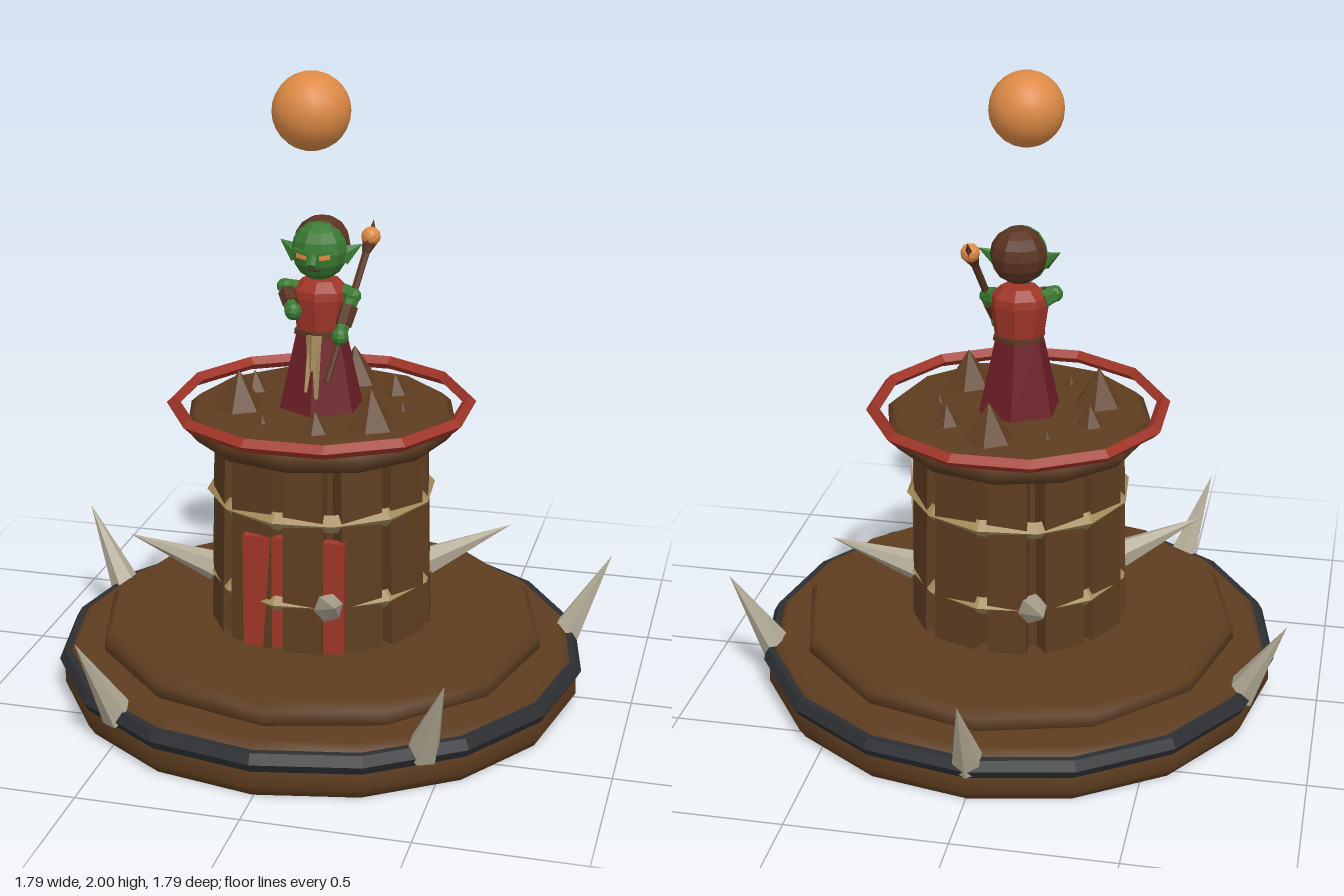
import * as THREE from 'three';

const mat = (name, color) => Object.assign(new THREE.MeshStandardMaterial({ color }), { name });
const flat = (g) => {
  const f = g.index ? g.toNonIndexed() : g;
  f.computeVertexNormals();
  return f;
};
const rad = THREE.MathUtils.degToRad;
const V = (x, y, z) => new THREE.Vector3(x, y, z);

export function createModel() {
  const wood = mat('wood', 0x5e3d20);
  const iron = mat('darkIron', 0x2c2e32);
  const bone = mat('bone', 0xb3aa97);
  const tan = mat('tanHide', 0xa58c5c);
  const red = mat('redPaint', 0xa03528);
  const maroon = mat('maroonCloth', 0x6c1e26);
  const green = mat('greenSkin', 0x3a7a32);
  const orange = mat('orangeGlow', 0xdd8a45);
  const leather = mat('brownLeather', 0x5a3420);

  const model = new THREE.Group();
  const add = (parent, name, geo, m, x = 0, y = 0, z = 0) => {
    const mesh = new THREE.Mesh(geo, m);
    mesh.name = name;
    mesh.position.set(x, y, z);
    parent.add(mesh);
    return mesh;
  };
  // Tapered rod between two points; a zero end radius makes a spike
  const rod = (parent, name, a, b, ra, rb, m, sides = 6) => {
    const d = b.clone().sub(a);
    const mesh = add(parent, name, flat(new THREE.CylinderGeometry(rb, ra, d.length(), sides)), m);
    mesh.position.copy(a).addScaledVector(d, 0.5);
    mesh.quaternion.setFromUnitVectors(V(0, 1, 0), d.normalize());
    return mesh;
  };
  const lathe = (pts, sides) => new THREE.LatheGeometry(pts.map((p) => new THREE.Vector2(...p)), sides);
  const ring = (r, tube, radial, sides, turn) =>
    flat(new THREE.TorusGeometry(r, tube, radial, sides).rotateX(Math.PI / 2).rotateY(rad(turn)));
  // Point at an angle from the front, a radius and a height
  const polar = (deg, r, y) => V(Math.sin(rad(deg)) * r, y, Math.cos(rad(deg)) * r);

  // ---- Tower ----
  const tower = new THREE.Group();
  tower.name = 'tower';
  tower.position.set(-0.005, 0, 0.045);
  model.add(tower);

  add(tower, 'baseDisc', lathe([[0, 0], [0.81, 0], [0.832, 0.035], [0.83, 0.09], [0.815, 0.14], [0.785, 0.165], [0, 0.168]], 16), wood);
  add(tower, 'ironRim', ring(0.812, 0.035, 6, 16, 0), iron, 0, 0.115, 0);
  add(tower, 'upperStep', lathe([[0.69, 0.16], [0.712, 0.18], [0.71, 0.215], [0.685, 0.24], [0, 0.242]], 12), wood);
  add(tower, 'towerCore', flat(new THREE.CylinderGeometry(0.3, 0.31, 0.62, 12)), wood, 0, 0.54, 0);

  // Wall planks leaning slightly inward
  for (let i = 0; i < 12; i++) {
    const a = 5 + i * 30;
    const plank = add(tower, 'wallPlank', new THREE.BoxGeometry(0.125 + (i % 3) * 0.012, 0.62, 0.06), wood);
    plank.position.copy(polar(a, 0.314, 0.545));
    plank.rotation.set(-0.025, rad(a + (i % 2 ? 5 : -4)), 0, 'YXZ');
  }
  for (const y of [0.395, 0.665]) {
    const band = add(tower, 'hideBand', ring(0.338, 0.025, 4, 12, 20), tan, 0, y, 0);
    band.scale.y = 1.15;
  }
  add(tower, 'door', new THREE.BoxGeometry(0.32, 0.365, 0.03), red, -0.003, 0.427, 0.321);

  // Spikes on the wall and around the base
  for (let i = 0; i < 4; i++) {
    const a = 18 + i * 90;
    rod(tower, 'wallSpike', polar(a, 0.34, 0.395), polar(a, 0.61, 0.512), 0.048, 0, bone);
  }
  for (let i = 0; i < 5; i++) {
    const a = 180 + i * 72;
    rod(tower, 'baseSpike', polar(a, 0.795, 0.115), polar(a, 0.943, 0.395), 0.053, 0, bone);
  }

  // Roof platform with railing ring and mounds
  add(tower, 'roofPlatform', lathe([[0, 0.85], [0.4, 0.85], [0.42, 0.875], [0.428, 0.91], [0.4, 0.935], [0, 0.938]], 12), wood);
  add(tower, 'railRing', ring(0.463, 0.022, 4, 12, 15), red, 0, 0.943, 0);
  const mounds = [[0.015, 0.03], [0.08, 0.12], [0.045, 0.065]];
  for (let i = 0; i < 9; i++) {
    const [r, h] = mounds[i % 3];
    const p = polar(90 - i * 40, 0.258, 0.935 + h / 2);
    add(tower, 'roofMound', flat(new THREE.ConeGeometry(r, h, 6)), wood, p.x, p.y, p.z);
  }

  add(model, 'floatingOrb', new THREE.SphereGeometry(0.118, 20, 14), orange, -0.008, 1.882, 0.152);

  // ---- Robed caster ----
  const caster = new THREE.Group();
  caster.name = 'caster';
  caster.position.set(-0.005, 0, 0.05);
  model.add(caster);

  add(caster, 'robeSkirt', flat(new THREE.CylinderGeometry(0.078, 0.135, 0.25, 6)), maroon, 0, 1.06, 0);
  const torso = add(caster, 'torso', flat(lathe([[0.078, 1.18], [0.094, 1.29], [0.09, 1.315], [0.058, 1.345], [0, 1.347]], 8)), red);
  torso.scale.z = 0.88;
  add(caster, 'belt', flat(new THREE.CylinderGeometry(0.085, 0.087, 0.016, 6)), leather, 0, 1.183, 0);
  // Hanging hide strips
  for (const [x, len] of [[-0.013, 0.17], [0.013, 0.19]]) {
    rod(caster, 'hideStrip', V(x * 0.5, 1.185, 0.085), V(x * 1.3, 1.185 - len, 0.127), 0.017, 0.006, tan, 4);
  }
  rod(caster, 'hideStripCentre', V(0, 1.185, 0.088), V(0, 1.08, 0.112), 0.026, 0.014, tan, 4);

  // Head
  const skull = add(caster, 'head', flat(new THREE.SphereGeometry(0.088, 10, 8)), green, 0, 1.44, 0.02);
  skull.scale.y = 1.05;
  add(caster, 'hair', flat(new THREE.SphereGeometry(0.09, 10, 8)), leather, 0, 1.451, -0.012);
  rod(caster, 'nose', V(0, 1.435, 0.095), V(0, 1.41, 0.122), 0.014, 0.016, green);
  for (const s of [-1, 1]) {
    const ear = rod(caster, 'ear', V(s * 0.07, 1.425, 0.015), V(s * 0.13, 1.462, 0.0), 0.034, 0, green, 5);
    ear.scale.z = 0.6;
    const eye = add(caster, 'eye', new THREE.BoxGeometry(0.034, 0.014, 0.009), orange, s * 0.036, 1.437, 0.099);
    eye.rotation.set(0, s * 0.35, s * 0.12);
    const brow = add(caster, 'brow', new THREE.BoxGeometry(0.045, 0.01, 0.012), green, s * 0.036, 1.45, 0.099);
    brow.rotation.set(0, s * 0.35, s * 0.15);
  }
  const mouth = add(caster, 'mouth', new THREE.BoxGeometry(0.04, 0.006, 0.008), leather, 0, 1.394, 0.091);
  mouth.rotation.x = 0.4;

  // Arms: shoulder, elbow, hand
  const arms = [
    [V(-0.075, 1.305, 0), V(-0.108, 1.318, 0.025), V(-0.055, 1.272, 0.128)],
    [V(0.075, 1.305, 0), V(0.105, 1.3, 0.02), V(0.082, 1.19, 0.09)],
  ];
  for (const [shoulder, elbow, hand] of arms) {
    rod(caster, 'upperArm', shoulder, elbow, 0.03, 0.026, green);
    add(caster, 'elbow', flat(new THREE.SphereGeometry(0.027, 7, 5)), green, ...elbow.toArray());
    rod(caster, 'forearm', elbow, hand, 0.023, 0.02, green);
    rod(caster, 'cuff', elbow.clone().lerp(hand, 0.25), elbow.clone().lerp(hand, 0.72), 0.028, 0.026, leather);
    add(caster, 'hand', flat(new THREE.SphereGeometry(0.028, 8, 6)), green, ...hand.toArray());
  }

  // Staff with claw and glowing gem
  const foot = V(0.055, 1.06, 0.15), top = V(0.135, 1.45, -0.065);
  rod(caster, 'staff', foot, top, 0.01, 0.012, leather);
  rod(caster, 'staffClaw', V(0.128, 1.42, -0.048), V(0.138, 1.463, -0.072), 0.012, 0.028, leather);
  rod(caster, 'clawTip', V(0.138, 1.462, -0.085), V(0.138, 1.512, -0.115), 0.018, 0, leather, 4);
  add(caster, 'staffGem', flat(new THREE.IcosahedronGeometry(0.031, 1)), orange, 0.139, 1.468, -0.073);

  return model;
}
